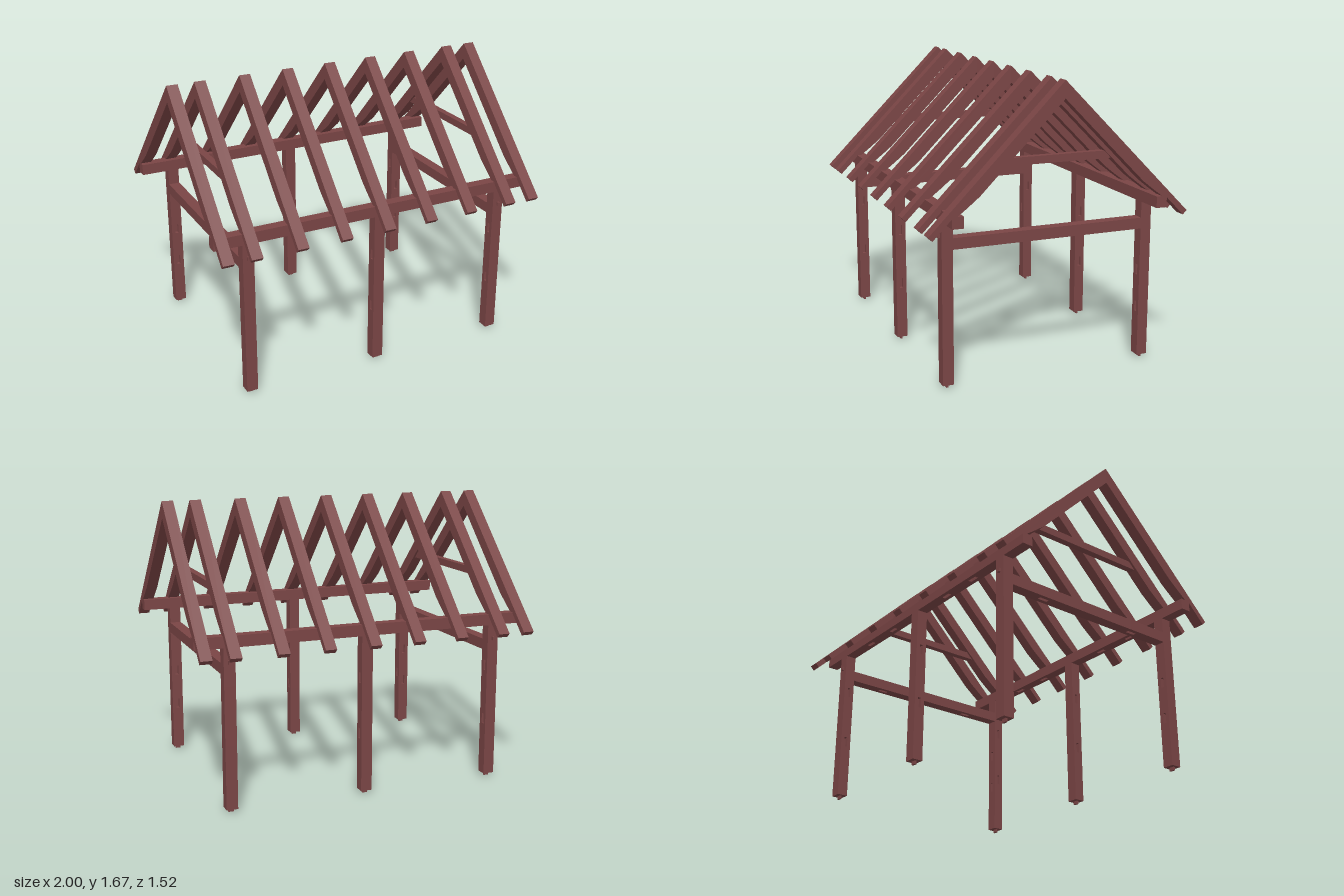
import * as THREE from 'three';
import { mergeGeometries } from 'three/addons/utils/BufferGeometryUtils.js';

const TIMBER = 0.066, DEPTH = 0.063;
const SLOT_LENGTH = 0.06, SLOT_WIDTH = 0.02, SLOT_DEPTH = 0.022;
const POST_Z = 0.598, END_X = 0.805;
const BOTTOM = 0, RIGHT = 1, TOP = 2, LEFT = 3;

// Rectangular cross-section with a slot cut into each listed side
function section(w, d, sides) {
  const points = [];
  for (let k = 0; k < 4; k++) {
    const dx = [1, 0, -1, 0][k], dy = [0, 1, 0, -1][k];
    const half = (k % 2 ? d : w) / 2, out = (k % 2 ? w : d) / 2;
    const add = (a, n) => points.push(new THREE.Vector2(dx * a + dy * n, dy * a - dx * n));
    add(-half, out);
    if (sides.includes(k)) {
      const s = SLOT_WIDTH / 2;
      add(-s, out);
      add(-s, out - SLOT_DEPTH);
      add(s, out - SLOT_DEPTH);
      add(s, out);
    }
  }
  return new THREE.Shape(points);
}

// Timber along z, divided where its mortises begin and end; mortises are [position, side]
function mortisedTimber(w, d, from, to, mortises) {
  const h = SLOT_LENGTH / 2;
  const cuts = [from, to];
  for (const [at] of mortises) cuts.push(at - h, at + h);
  cuts.sort((a, b) => a - b);
  const pieces = [];
  for (let i = 0; i < cuts.length - 1; i++) {
    const length = cuts[i + 1] - cuts[i];
    if (length < 1e-5) continue;
    const mid = (cuts[i] + cuts[i + 1]) / 2;
    const sides = mortises.filter(([at]) => Math.abs(mid - at) < h).map((m) => m[1]);
    const piece = new THREE.ExtrudeGeometry(section(w, d, sides), { depth: length, bevelEnabled: false });
    pieces.push(piece.translate(0, 0, cuts[i]));
  }
  return mergeGeometries(pieces);
}

export function createModel() {
  const model = new THREE.Group();
  model.name = 'timberFrame';
  const wood = new THREE.MeshStandardMaterial({ color: 0x7a4545 });

  const add = (name, geometry, x = 0, y = 0, z = 0) => {
    const mesh = new THREE.Mesh(geometry, wood);
    mesh.name = name;
    mesh.position.set(x, y, z);
    model.add(mesh);
    return mesh;
  };

  // Posts with foot tenons and brace mortises
  for (const x of [-END_X, 0, END_X]) {
    for (const side of [1, -1]) {
      const mortises = [];
      for (const y of [0.36, 0.69]) {
        if (x <= 0) mortises.push([y, RIGHT]);
        if (x >= 0) mortises.push([y, LEFT]);
      }
      if (x !== 0) for (const y of [0.31, 0.53]) mortises.push([y, side > 0 ? TOP : BOTTOM]);
      const post = mortisedTimber(TIMBER, DEPTH, 0.02, 0.937, mortises).rotateX(-Math.PI / 2);
      add('post', post, x, 0, side * POST_Z);
      add('footTenon', new THREE.BoxGeometry(0.03, 0.022, 0.012), x, 0.011, side * POST_Z);
    }
  }

  // Wall plates along both sides, mortised underneath
  for (const side of [1, -1]) {
    const mortises = [-0.527, -0.278, 0.278, 0.527].map((x) => [x, BOTTOM]);
    const plate = mortisedTimber(DEPTH, 0.065, -1, 1, mortises).rotateY(Math.PI / 2);
    add('wallPlate', plate, 0, 0.9675, side * POST_Z);
  }

  // Tie beams, their wedges, and collar ties on the two end frames
  const collar = new THREE.Shape([
    new THREE.Vector2(-0.385, 1.2), new THREE.Vector2(0.385, 1.2),
    new THREE.Vector2(0.342, 1.243), new THREE.Vector2(-0.342, 1.243),
  ]);
  for (const x of [-END_X, END_X]) {
    const tie = mortisedTimber(TIMBER, DEPTH, -0.568, 0.568, [[-0.33, BOTTOM], [0.33, BOTTOM]]);
    add('tieBeam', tie, x, 0.811, 0);
    for (const side of [1, -1]) {
      add('tieWedge', new THREE.BoxGeometry(0.016, 0.022, 0.03), x, 0.855, side * 0.628);
    }
    const geometry = new THREE.ExtrudeGeometry(collar, { depth: 0.04, bevelEnabled: false });
    add('collarTie', geometry.translate(0, 0, -0.02).rotateY(Math.PI / 2), x);
  }

  // Rafter pairs: deep above the plate, thin at the tail
  const half = [[0.76, 0.906], [0.737, 0.883], [0.622, 0.998], [0.6, 1.0], [0.54, 1.045], [0.477, 1.095]];
  const outline = [
    [0, 1.667],
    ...half.map(([z, y]) => [-z, y]),
    [0, 1.57],
    ...half.slice().reverse(),
  ].map(([z, y]) => new THREE.Vector2(z, y));
  const rafter = new THREE.ExtrudeGeometry(new THREE.Shape(outline), { depth: TIMBER, bevelEnabled: false });
  rafter.translate(0, 0, -TIMBER / 2).rotateY(Math.PI / 2);
  for (const x of [-0.967, -END_X, -0.537, -0.27, 0, 0.27, 0.537, END_X, 0.967]) {
    add('rafterPair', rafter, x);
  }

  return model;
}
